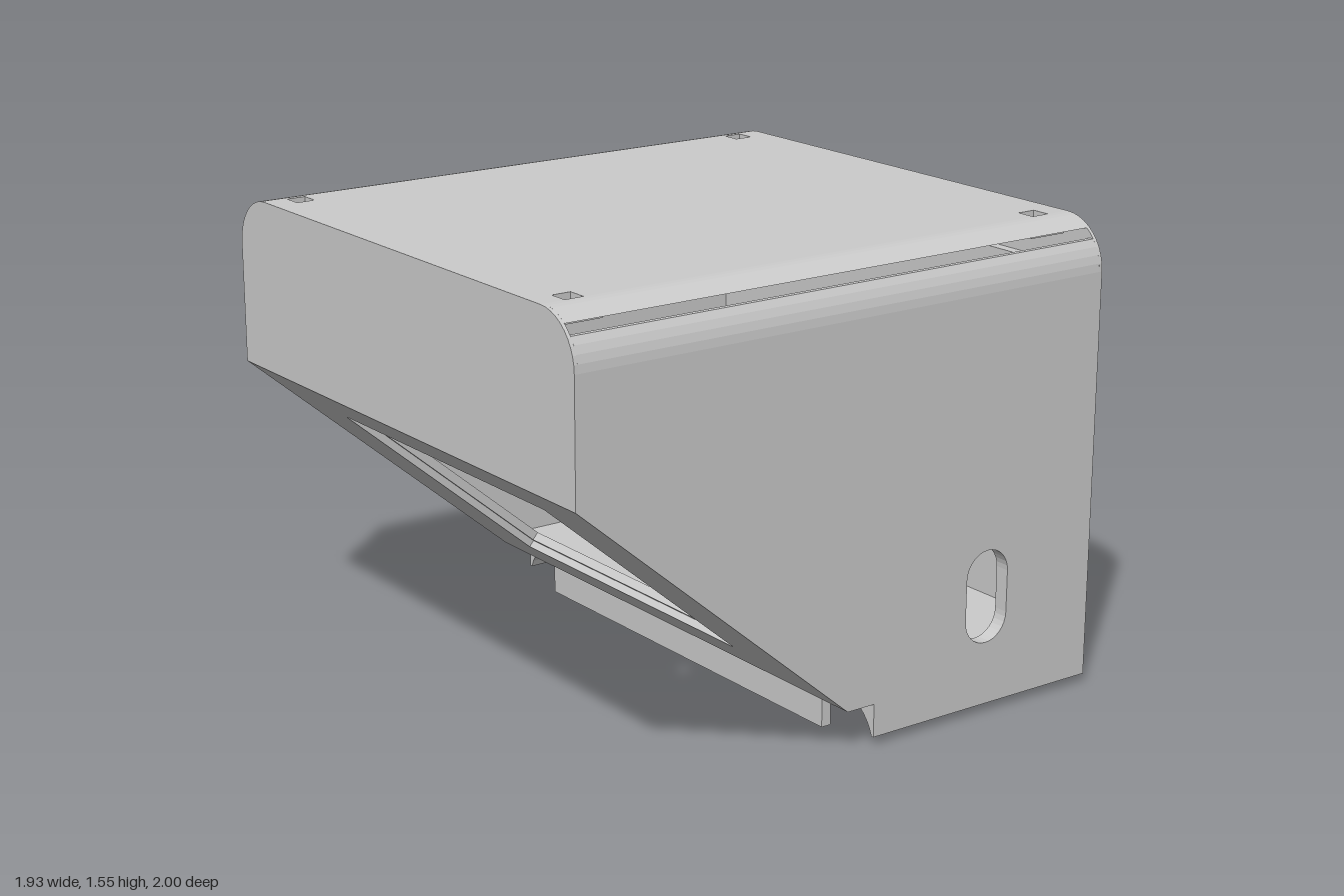
import * as THREE from 'three';

const W = 0.965, D = 1, T = 0.05;          // half width, half depth, wall
const FLOOR = 0.14, SEAM = 1.385, TOP = 1.55;
const R = 0.165, CX = W - R;               // corner radius and its centre
const END = 0.012, SKIN = 0.035;           // lid end plates and lid skin

const mat = new THREE.MeshStandardMaterial({ color: 0xcccccc, side: THREE.DoubleSide });

const poly = pts => new THREE.Shape(pts.map(p => new THREE.Vector2(...p)));
const rect = (x0, y0, x1, y1) => poly([[x0, y0], [x1, y0], [x1, y1], [x0, y1]]);
const extrude = (shape, depth) =>
  new THREE.ExtrudeGeometry(shape, { depth, bevelEnabled: false, curveSegments: 8 });

// points on a corner arc, from angle a to angle b
function arc(cx, cy, a, b, n) {
  return Array.from({ length: n + 1 }, (_, i) => {
    const t = a + (b - a) * i / n;
    return [cx + R * Math.cos(t), cy + R * Math.sin(t)];
  });
}

export function createModel() {
  const model = new THREE.Group();
  model.name = 'enclosure';

  const add = (name, geo, parent = model) => {
    const m = new THREE.Mesh(geo, mat);
    m.name = name;
    parent.add(m);
    return m;
  };
  const box = (name, x0, x1, y0, y1, z0, z1) =>
    add(name, new THREE.BoxGeometry(x1 - x0, y1 - y0, z1 - z0)
      .translate((x0 + x1) / 2, (y0 + y1) / 2, (z0 + z1) / 2));

  // side walls, drawn in (-z, y) and turned to face sideways
  for (const s of [1, -1]) {
    const side = poly([[0, FLOOR], [D, FLOOR], [D, SEAM], [-D, SEAM], [-D, 0.985]]);
    if (s > 0) {
      // rounded cable opening in the left wall
      const r = 0.085, hole = new THREE.Path();
      hole.absarc(0.56, 0.465, r, 0, Math.PI);
      hole.absarc(0.56, 0.325, r, Math.PI, Math.PI * 2);
      hole.closePath();
      side.holes.push(hole);
    }
    const geo = extrude(side, T).rotateY(Math.PI / 2);
    geo.translate(s > 0 ? W - T : -W, 0, 0);
    add(s > 0 ? 'leftWall' : 'rightWall', geo);
  }

  // floor, upper front and the hanging lip
  const IN = W - T;
  box('floor', -IN, IN, FLOOR, FLOOR + T, -D + T, 0);
  box('upperFront', -IN, IN, 0.985, SEAM, D - T, D);
  box('frontLip', -0.755, 0.755, 0, FLOOR, -0.105, -0.07);

  // back wall with four shallow square recesses
  const back = rect(-IN, FLOOR, IN, SEAM);
  for (const x of [-0.6, 0.6])
    for (const y of [0.332, 1.237])
      back.holes.push(rect(x - 0.107, y - 0.107, x + 0.107, y + 0.107));
  add('backRecessLayer', extrude(back, 0.015).translate(0, 0, -D));
  box('backWall', -IN, IN, FLOOR, SEAM, -D + 0.015, -D + T);

  // sloping front panel: two layers leave a ledge around the window
  const rise = 0.845, L = Math.hypot(1, rise);
  const slope = new THREE.Group();
  slope.name = 'slopingFront';
  slope.matrixAutoUpdate = true;
  slope.position.set(0, FLOOR, 0);
  slope.rotation.x = Math.atan2(1, rise);
  model.add(slope);
  const layer = (name, inset, z0, depth) => {
    const s = rect(-IN, 0, IN, L);
    s.holes.push(rect(-0.58 + inset, 0.194 + inset, 0.58 - inset, 1.115 - inset));
    add(name, extrude(s, depth).translate(0, 0, z0), slope);
  };
  layer('windowFrameOuter', 0, -0.025, 0.025);
  layer('windowFrameInner', 0.015, -0.055, 0.03);

  // concave skirts below the floor, shaped to sit on a rounded top
  const tip = Math.asin(0.055 / R);
  for (const s of [1, -1]) {
    const pts = [...arc(CX, FLOOR - R, Math.PI / 2, tip, 8), [W, 0.03], [W, FLOOR]];
    add('skirt', extrude(poly(pts.map(([x, y]) => [s * x, y])), D - 0.105)
      .translate(0, 0, -D));
  }

  // lid end plates with rounded upper corners
  const right = arc(CX, SEAM, 0, Math.PI / 2, 10);
  const profile = [...right, ...right.map(([x, y]) => [-x, y]).reverse()];
  for (const z of [-D, D - END])
    add('lidEnd', extrude(poly(profile), END).translate(0, 0, z));

  // rounded lid edges, split by a long ventilation slot
  const len = 2 * (D - END);
  const lower = [[IN, SEAM], ...arc(CX, SEAM, 0, Math.asin(0.1 / R), 4), [IN, SEAM + 0.1]];
  const upper = [[CX, TOP - SKIN], ...arc(CX, SEAM, Math.asin(0.13 / R), Math.PI / 2, 6)];
  for (const s of [1, -1])
    for (const [name, pts] of [['lidLowerEdge', lower], ['lidUpperEdge', upper]])
      add(name, extrude(poly(pts.map(([x, y]) => [s * x, y])), len)
        .translate(0, 0, -D + END));

  // flat top with four square holes, each backed by a boss
  const top = rect(-CX, -D + END, CX, D - END);
  const flat = (shape, h, y) => extrude(shape, h).rotateX(-Math.PI / 2).translate(0, y, 0);
  for (const x of [-0.765, 0.765])
    for (const z of [-0.885, 0.885]) {
      const hole = h => rect(x - h, z - h, x + h, z + h);
      top.holes.push(hole(0.032));
      const boss = hole(0.07);
      boss.holes.push(hole(0.024));
      add('boss', flat(boss, 0.025, TOP - SKIN - 0.025));
    }
  add('lidTop', flat(top, SKIN, TOP - SKIN));

  return model;
}
